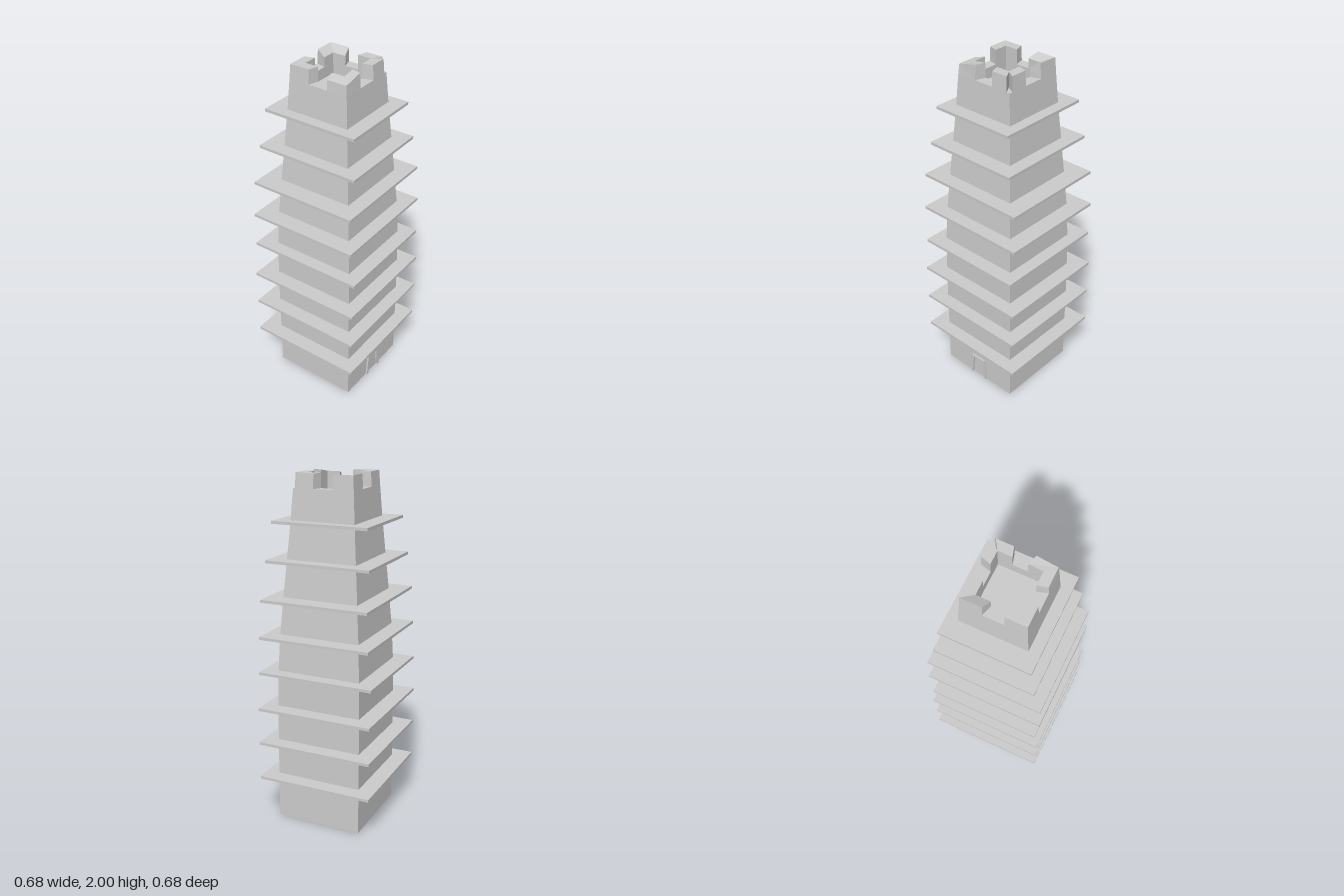
import * as THREE from 'three';

const grey = new THREE.MeshStandardMaterial({ color: 0xcccccc, flatShading: true, side: THREE.DoubleSide });

function add(parent, name, geometry) {
  const mesh = new THREE.Mesh(geometry, grey);
  mesh.name = name;
  parent.add(mesh);
  return mesh;
}

// Moves every vertex by a rule, then refreshes the normals.
function deform(geometry, rule) {
  const p = geometry.attributes.position;
  const v = new THREE.Vector3();
  for (let i = 0; i < p.count; i++) {
    rule(v.fromBufferAttribute(p, i));
    p.setXYZ(i, v.x, v.y, v.z);
  }
  geometry.computeVertexNormals();
  return geometry;
}

const polygon = (pts) => pts.map(([x, y]) => new THREE.Vector2(x, y));

export function createModel() {
  const tower = new THREE.Group();
  tower.name = 'tower';

  // Square tapering body, open below, with a sunken roof: [half width, height]
  const profile = [
    [0.254, 0], [0.253, 0.48], [0.251, 0.69], [0.248, 0.9], [0.238, 1.114], [0.222, 1.324],
    [0.205, 1.533], [0.188, 1.743], [0.176, 1.92], [0.117, 1.92], [0.117, 1.86], [0, 1.86],
  ];
  const body = new THREE.LatheGeometry(
    profile.map(([w, y]) => new THREE.Vector2(w * Math.SQRT2, y)), 4, Math.PI / 4);
  add(tower, 'body', deform(body, (v) => { v.z += 0.011 - 0.002 * v.y; }));

  // Thin eaves: [height, half width in x, half depth in z]
  const eaves = [
    [0.268, 0.34, 0.34], [0.483, 0.339, 0.34], [0.692, 0.34, 0.34], [0.902, 0.32, 0.34],
    [1.114, 0.335, 0.325], [1.324, 0.327, 0.315], [1.533, 0.28, 0.304], [1.743, 0.249, 0.279],
  ];
  for (const [y, w, d] of eaves) {
    add(tower, 'eave', new THREE.BoxGeometry(2 * w, 0.016, 2 * d)).position.y = y;
  }

  // L-shaped corner battlements, with slightly worn tops
  const out = 0.171, inn = 0.117, gapOut = 0.057, gapIn = 0.04;
  const battlements = new THREE.Group();
  battlements.name = 'battlements';
  battlements.position.set(0, 1.92, 0.007);
  tower.add(battlements);
  for (const sx of [-1, 1]) {
    for (const sz of [-1, 1]) {
      const chipped = sx > 0 && sz > 0;
      const corner = chipped ? [[out, 0.152], [inn + 0.006, inn + 0.006], [0.152, out]] : [[out, out]];
      const outline = [[gapIn, inn], [inn, inn], [inn, gapIn], [out, gapOut], ...corner, [gapOut, out]]
        .map(([x, z]) => [x * sx, -z * sz]);
      const merlon = new THREE.ExtrudeGeometry(new THREE.Shape(polygon(outline)), { depth: 0.08, bevelEnabled: false });
      merlon.rotateX(-Math.PI / 2);
      deform(merlon, (v) => {
        if (v.y < 0.04) {
          // outer faces lean inward
          if (Math.abs(v.x) > 0.15) v.x *= 1.03;
          if (Math.abs(v.z) > 0.15) v.z *= 1.03;
        } else if (sx > 0 && sz < 0) {
          // top dips toward the inside
          if (Math.max(v.x, -v.z) < 0.12) v.y -= 0.026;
        } else if (sx < 0 && sz > 0) {
          // top dips toward the side
          v.y -= 0.22 * Math.max(0, -v.x - 0.06);
        }
      });
      add(battlements, 'merlon', merlon);
    }
  }

  // Tapered door frame on the front
  const frame = new THREE.Shape(polygon([
    [-0.065, 0], [-0.05, 0.14], [0.05, 0.14], [0.065, 0],
    [0.047, 0], [0.035, 0.125], [-0.035, 0.125], [-0.047, 0],
  ]));
  const door = new THREE.ExtrudeGeometry(frame, { depth: 0.015, bevelEnabled: false });
  add(tower, 'doorFrame', door).position.z = 0.26;

  return tower;
}
